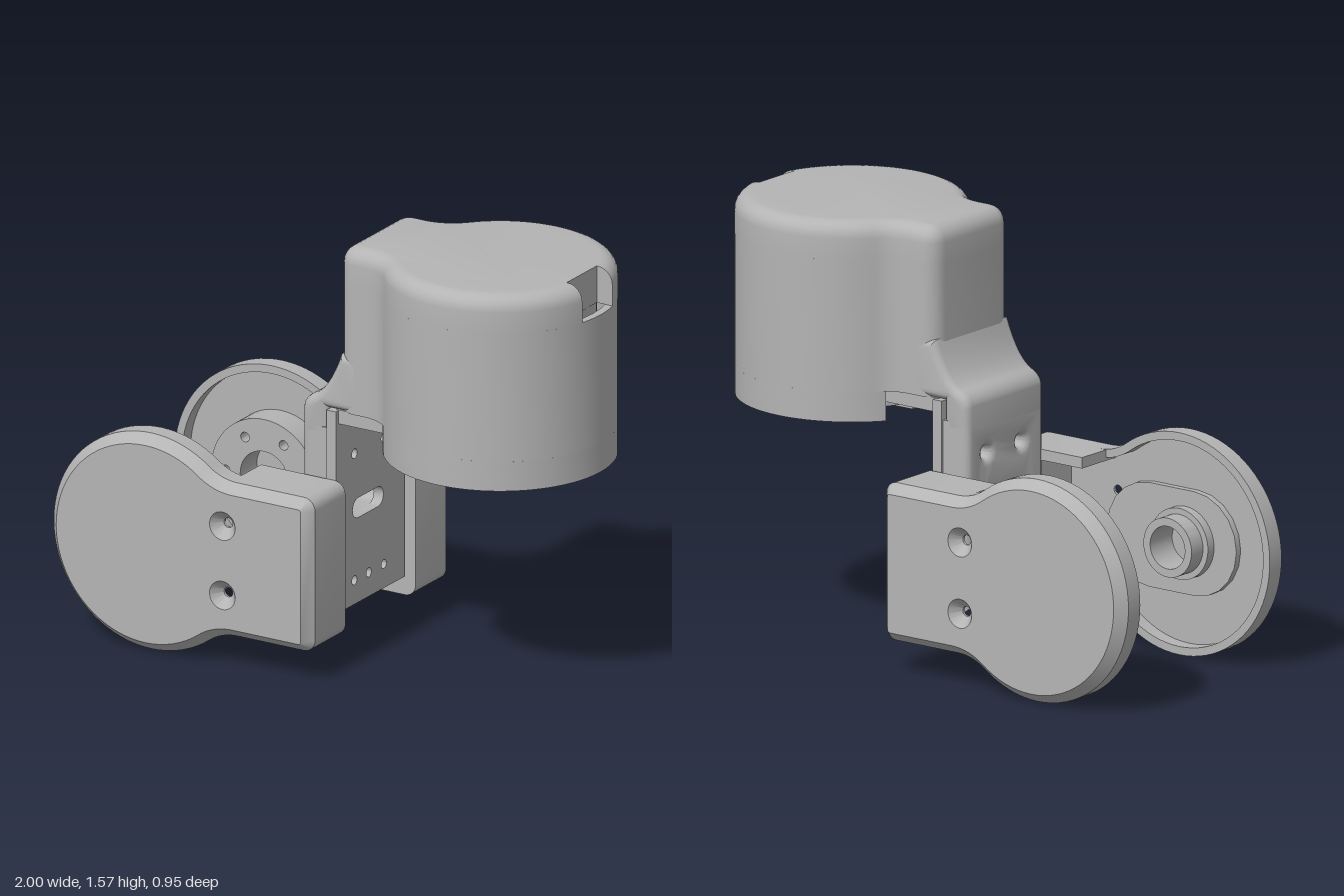
import * as THREE from 'three';
import { toCreasedNormals } from 'three/addons/utils/BufferGeometryUtils.js';

const grey = new THREE.MeshStandardMaterial({ color: 0xb4b4b4 });
grey.name = 'grey plastic';

const V = (x, y) => new THREE.Vector2(x, y);
const arc = (cx, cy, r, a0, a1, n) => Array.from({ length: n + 1 }, (_, i) => {
  const a = a0 + (a1 - a0) * i / n;
  return V(cx + r * Math.cos(a), cy + r * Math.sin(a));
});
const circle = (x, y, r) => new THREE.Path().absarc(x, y, r, 0, Math.PI * 2, false);
const slot = (x, y, half, r) => new THREE.Path(
  [...arc(x + half, y, r, -Math.PI / 2, Math.PI / 2, 10), ...arc(x - half, y, r, Math.PI / 2, Math.PI * 1.5, 10)]);
const shapeOf = (points, holes = []) => {
  const s = new THREE.Shape(points);
  s.holes.push(...holes);
  return s;
};
const disc = (r, holes = []) => shapeOf(circle(0, 0, r).getPoints(32), holes);

// Disc at the origin with a neck towards +x, blended by fillets; i insets it
function keyhole({ R, w, L, f, r, notch }, i = 0) {
  const cy = w + f, dx = Math.sqrt((R + f) ** 2 - cy ** 2), a = Math.atan2(cy, dx), PI = Math.PI;
  let round = arc(0, 0, R - i, a, 2 * PI - a, 56);
  if (notch) {
    const b = Math.asin(notch.half / (R - i));
    round = [...arc(0, 0, R - i, a, PI - b, 28), V(-notch.depth, notch.half),
      V(-notch.depth, -notch.half), ...arc(0, 0, R - i, PI + b, 2 * PI - a, 28)];
  }
  return [...round,
    ...arc(dx, -cy, f + i, PI - a, PI / 2, 10).slice(1),
    ...arc(L - r, r - w, r - i, -PI / 2, 0, 6),
    ...arc(L - r, w - r, r - i, 0, PI / 2, 6),
    ...arc(dx, cy, f + i, -PI / 2, a - PI, 10).slice(0, -1)];
}

// Solid through rings of equal point count, each { points, z }
function loft(rings) {
  const n = rings[0].points.length, pos = [], index = [];
  rings.forEach(({ points, z }) => points.forEach(p => pos.push(p.x, p.y, z)));
  for (let k = 0; k < rings.length - 1; k++) for (let j = 0; j < n; j++) {
    const a = k * n + j, b = k * n + (j + 1) % n;
    index.push(a, b, b + n, a, b + n, a + n);
  }
  const top = (rings.length - 1) * n;
  THREE.ShapeUtils.triangulateShape([...rings[0].points], []).forEach(([a, b, c]) => index.push(a, c, b));
  THREE.ShapeUtils.triangulateShape([...rings.at(-1).points], []).forEach(([a, b, c]) => index.push(top + a, top + b, top + c));
  const g = new THREE.BufferGeometry();
  g.setAttribute('position', new THREE.Float32BufferAttribute(pos, 3));
  g.setIndex(index);
  return g;
}

const extrude = (shape, z0, z1) =>
  new THREE.ExtrudeGeometry(shape, { depth: z1 - z0, bevelEnabled: false, curveSegments: 20 }).translate(0, 0, z0);

// Extrusion with its far edge bevelled inwards and its near face flat
function bevelled(shape, z0, z1, size, thick, segments) {
  const g = new THREE.ExtrudeGeometry(shape, { depth: z1 - z0 - thick, bevelSize: size, bevelOffset: -size,
    bevelThickness: thick, bevelSegments: segments, curveSegments: 20 });
  const p = g.attributes.position;
  for (let i = 0; i < p.count; i++) p.setZ(i, Math.max(0, p.getZ(i)));
  return g.translate(0, 0, z0);
}

const add = (group, name, geometry) => {
  const mesh = new THREE.Mesh(toCreasedNormals(geometry, 0.5), grey);
  mesh.name = name;
  group.add(mesh);
  return mesh;
};
const box = (x0, x1, y0, y1, z0, z1) =>
  new THREE.BoxGeometry(x1 - x0, y1 - y0, z1 - z0).translate((x0 + x1) / 2, (y0 + y1) / 2, (z0 + z1) / 2);

// Hollow keyhole end cap, facing +z, with its pivot at the origin
function makeCap(name) {
  const cap = new THREE.Group();
  cap.name = name;
  const key = { R: 0.405, w: 0.2875, L: 0.68, f: 0.2, r: 0.045 };
  const screws = [-0.13, 0.13].map(y => circle(0.32, y, 0.018));
  add(cap, 'capFace', bevelled(shapeOf(keyhole(key), screws), 0.425, 0.475, 0.035, 0.04, 1));
  add(cap, 'capRim', extrude(shapeOf(keyhole(key), [new THREE.Path(keyhole(key, 0.03))]), 0.368, 0.435));
  // U-shaped walls reaching in to the bracket
  const { L, w, r } = key;
  const walls = [V(0.33, -w), ...arc(L - r, r - w, r, -Math.PI / 2, 0, 6), ...arc(L - r, w - r, r, 0, Math.PI / 2, 6),
    V(0.33, w), V(0.33, w - 0.04), V(0.53, w - 0.04), V(0.53, 0.04 - w), V(0.33, 0.04 - w)];
  add(cap, 'capWalls', extrude(shapeOf(walls), 0.233, 0.435));
  return cap;
}

export function createModel() {
  const model = new THREE.Group();
  model.name = 'jointAssembly';

  // End caps on both sides of the pivot
  const frontCap = makeCap('frontCap');
  frontCap.position.set(-0.6, 0.405, -0.004);
  add(frontCap, 'pivotTube', extrude(disc(0.108, [circle(0, 0, 0.078)]), 0.3, 0.43));
  add(frontCap, 'pivotFlange', extrude(disc(0.13, [circle(0, 0, 0.078)]), 0.365, 0.43));
  add(frontCap, 'pivotPad', extrude(shapeOf(slot(0.06, 0, 0.1, 0.19).getPoints(),
    [circle(0, 0, 0.078)]), 0.4, 0.43));
  const backCap = makeCap('backCap');
  backCap.position.set(-0.6, 0.405, -0.004);
  backCap.rotation.x = Math.PI;
  const bolts = Array.from({ length: 6 }, (_, i) =>
    circle(0.16 * Math.cos(i * Math.PI / 3), 0.16 * Math.sin(i * Math.PI / 3), 0.018));
  add(backCap, 'hornDisc', extrude(disc(0.22, [circle(0, 0, 0.1), ...bolts]), 0.315, 0.43));
  model.add(frontCap, backCap);

  // L-shaped bracket with mounting holes
  const holesOf = (r) => [slot(-0.015, 0.545, 0.065, 0.037),
    ...[-0.105, 0.09].map(x => circle(x, 0.755, r)),
    ...[-0.105, -0.01, 0.09].map(x => circle(x, 0.28, 0.017))];
  const plate = (z, y0, y1, r) => shapeOf([V(-z, y0), V(z, y0), V(z, y1), V(-z, y1)], holesOf(r));
  add(model, 'bracketPlate', extrude(plate(0.228, 0.19, 0.95, 0.018), 0, 0.04).rotateY(Math.PI / 2));
  add(model, 'bracketShelf', box(0.03, 0.32, 0.9, 0.952, -0.21, 0.21));
  add(model, 'connector', box(0.23, 0.31, 0.855, 0.9, -0.1, 0.1));

  // Arm cover: drilled lower back and curved shoulder
  add(model, 'armCover', bevelled(plate(0.22, 0.19, 0.88, 0.022), 0, 0.11, 0.03, 0.03, 4).rotateY(-Math.PI / 2));
  const side = new THREE.Shape();
  side.moveTo(0, 0.83).lineTo(-0.11, 0.83).lineTo(-0.11, 0.93);
  side.quadraticCurveTo(-0.11, 0.975, -0.06, 0.995);
  side.quadraticCurveTo(0.0, 1.03, 0.045, 1.16);
  side.lineTo(0.14, 1.16).lineTo(0.14, 0.95).lineTo(0, 0.95);
  add(model, 'armShoulder', new THREE.ExtrudeGeometry(side, { depth: 0.38, bevelSize: 0.03, bevelOffset: -0.03,
    bevelThickness: 0.03, bevelSegments: 4, curveSegments: 10 }).translate(0, 0, -0.19));

  // Motor housing: rounded lid with a rear notch, walls and lower skirt
  const housing = new THREE.Group();
  housing.name = 'motorHousing';
  housing.position.x = 0.58;
  const key = { R: 0.415, w: 0.22, L: 0.54, f: 0.15, r: 0.065 };
  const lidKey = { ...key, notch: { half: 0.1, depth: 0.338 } };
  const turned = (k, i) => keyhole(k, i).map(p => V(-p.x, -p.y));
  const rings = [{ points: turned(lidKey, 0), z: 1.43 }];
  for (let s = 0; s <= 6; s++) {
    const t = s / 6 * Math.PI / 2;
    rings.push({ points: turned(lidKey, 0.06 * (1 - Math.cos(t))), z: 1.508 + 0.06 * Math.sin(t) });
  }
  const upright = (name, g) => add(housing, name, g.rotateX(-Math.PI / 2));
  upright('lid', loft(rings));
  upright('walls', extrude(shapeOf(turned(key, 0), [circle(0, 0, 0.385)]), 0.95, 1.43));
  upright('skirt', extrude(shapeOf([...arc(0, 0, 0.415, -2.53, 2.53, 56), ...arc(0, 0, 0.385, 2.53, -2.53, 56)]), 0.84, 0.95));

  // Motor with its drilled face and hub, seen from underneath
  const ringHoles = (n, d, r, a0) => Array.from({ length: n }, (_, i) =>
    circle(d * Math.cos(a0 + i * 2 * Math.PI / n), d * Math.sin(a0 + i * 2 * Math.PI / n), r));
  upright('motorBody', extrude(disc(0.34), 0.9, 1.43));
  upright('motorFace', extrude(disc(0.34, ringHoles(4, 0.29, 0.024, 0.4)), 0.872, 0.9));
  upright('motorHub', extrude(disc(0.2, [...ringHoles(3, 0.11, 0.042, 0.2),
    ...ringHoles(6, 0.17, 0.014, 0.72)]), 0.85, 0.872));
  upright('motorShaft', extrude(disc(0.045), 0.842, 0.86));
  model.add(housing);

  return model;
}
